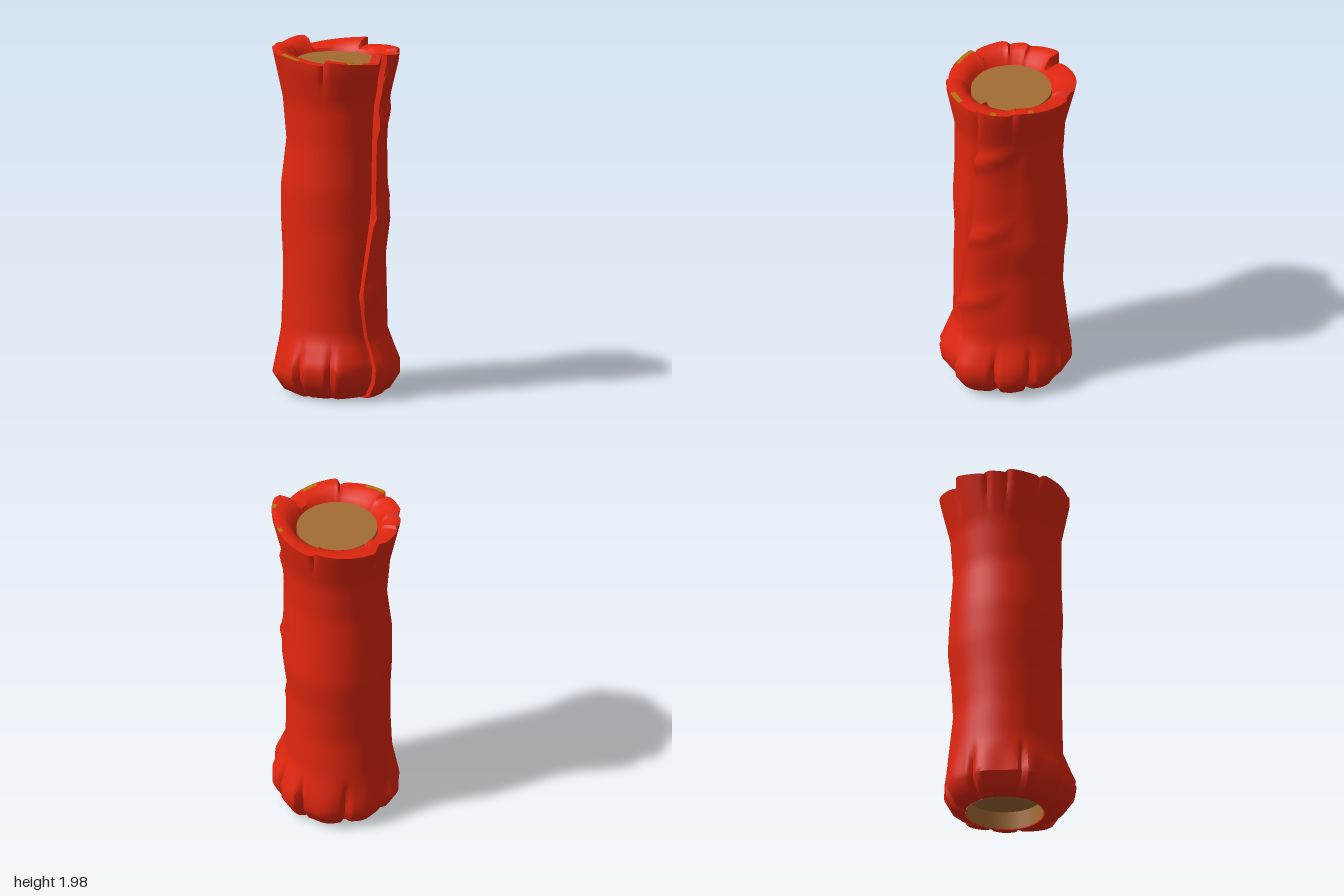
import * as THREE from 'three';
import { toCreasedNormals } from 'three/addons/utils/BufferGeometryUtils.js';

const DEG = Math.PI / 180, COLS = 144, CZ = -0.02;

// Wrapper cross-sections: height, then radius at front, right, back, left.
const ROWS = [
  [0.06, 0.22, 0.22, 0.22, 0.22],
  [0.012, 0.225, 0.225, 0.225, 0.225],
  [0.015, 0.28, 0.26, 0.25, 0.26],
  [0.035, 0.33, 0.30, 0.29, 0.30],
  [0.12, 0.39, 0.355, 0.335, 0.355],
  [0.20, 0.405, 0.355, 0.335, 0.34],
  [0.37, 0.33, 0.29, 0.315, 0.31],
  [0.60, 0.325, 0.285, 0.29, 0.30],
  [0.80, 0.325, 0.28, 0.30, 0.30],
  [1.00, 0.32, 0.305, 0.32, 0.31],
  [1.20, 0.33, 0.29, 0.31, 0.31],
  [1.46, 0.32, 0.285, 0.29, 0.28],
  [1.70, 0.32, 0.295, 0.305, 0.30],
  [1.92, 0.365, 0.345, 0.36, 0.345],
  [1.965, 0.365, 0.35, 0.37, 0.355],
  [1.968, 0.335, 0.325, 0.34, 0.33],
  [1.96, 0.29, 0.285, 0.295, 0.285],
  [1.93, 0.25, 0.25, 0.25, 0.25],
  [1.89, 0.23, 0.23, 0.23, 0.23],
];
const SEAM = [[0, 32], [0.3, 32], [0.6, 25], [1.08, 40], [1.6, 45], [1.9, 50], [2, 50]];
const PLEATS = [-80, -35, -5, 65, 100, 132, 180, 228];
const RIM_FOLDS = [-95, -62, -12, 50, 83, 148, 212, 245];
const GOLD = [[-62, -38], [10, 23], [61, 67], [96, 100]];

const wrap = (d) => ((d + 540) % 360 + 360) % 360 - 180;
const step = THREE.MathUtils.smoothstep;

function seamAngle(y) {
  const k = Math.max(1, SEAM.findIndex((s) => s[0] >= y));
  const [y0, a0] = SEAM[k - 1], [y1, a1] = SEAM[k];
  return a0 + (a1 - a0) * (y - y0) / (y1 - y0);
}

// Blend the four radii around the circle
function radiusAt(row, deg) {
  const q = ((deg % 360 + 360) % 360) / 90, k = Math.floor(q);
  return THREE.MathUtils.lerp(row[1 + k % 4], row[1 + (k + 1) % 4], step(q - k, 0, 1));
}

// Sharp crease of the given half width around each listed angle
function crease(list, deg, width) {
  return list.reduce((m, a) => Math.max(m, 1 - Math.abs(wrap(deg - a)) / width), 0);
}

// Uneven rim: each fold starts high and slopes to the next one
function rimHeight(deg) {
  let best = 360, id = 0;
  RIM_FOLDS.forEach((a, i) => {
    const d = ((deg - a) % 360 + 360) % 360;
    if (d < best) { best = d; id = i; }
  });
  return 0.022 - 0.0007 * best - (id % 3) * 0.007;
}

function wrapperPoint(row, isInner, u) {
  const y = row[0];
  const deg = seamAngle(y) + 360 * u;
  let r = radiusAt(row, deg), h = y;
  if (!isInner) {
    // Overlapping edge, with a shallow groove beside it
    r += 0.028 * (1 - step(u, 0.02, 0.13)) - 0.012 * step(u, 0.965, 1);
    // Diagonal wrinkles running up and away from the seam
    for (const y0 of [0.58, 1.06, 1.58]) {
      const d = (y - y0 - u * 0.9) / 0.045;
      r += 0.022 * Math.exp(-d * d) * (1 - step(u, 0.02, 0.16));
    }
  }
  // Pleats gathered around the foot
  if (y > 0.013 && y < 0.36 && !isInner) {
    const fade = 1 - step(y, 0.14, 0.36);
    r -= 0.04 * fade * crease(PLEATS, deg, 5);
    r += 0.008 * fade * Math.cos(deg * DEG * 9);
  }
  // Crumpled rim
  if (y > 1.7) {
    const fade = step(y, 1.7, 1.95) * step(r, 0.23, 0.3);
    h += rimHeight(deg) * fade;
    r += fade * (0.35 * rimHeight(deg) - 0.018 * crease(RIM_FOLDS, deg, 4));
  }
  const a = deg * DEG;
  return [r * Math.sin(a), h, CZ + r * Math.cos(a)];
}

function wrapperGeometry() {
  // Subdivide the tall bands so that the wrinkles have room
  const rows = [];
  ROWS.forEach((row, i) => {
    const next = ROWS[i + 1];
    const n = next ? Math.max(1, Math.round(Math.abs(next[0] - row[0]) / 0.045)) : 1;
    for (let k = 0; k < n; k++) {
      rows.push({
        v: k ? row.map((c, j) => c + (next[j] - c) * k / n) : row,
        inner: i < 2 || i > 16,
        gold: i === 14,
      });
    }
  });
  const pos = [], red = [], gold = [], w = COLS + 2;
  rows.forEach(({ v, inner }) => {
    for (let j = 0; j <= COLS; j++) pos.push(...wrapperPoint(v, inner, j / COLS));
    pos.push(...wrapperPoint(v, inner, 0)); // seam edge
  });
  for (let i = 0; i < rows.length - 1; i++) {
    for (let j = 0; j <= COLS; j++) {
      const deg = wrap(seamAngle(rows[i].v[0]) + 360 * j / COLS);
      const isGold = rows[i].gold && GOLD.some(([a, b]) => deg >= a && deg <= b);
      const a = i * w + j, b = a + 1, c = b + w, d = a + w;
      (isGold ? gold : red).push(a, b, c, a, c, d);
    }
  }
  const g = new THREE.BufferGeometry();
  g.setAttribute('position', new THREE.Float32BufferAttribute(pos, 3));
  g.setIndex([...red, ...gold]);
  g.addGroup(0, red.length, 0);
  g.addGroup(red.length, gold.length, 1);
  return toCreasedNormals(g, 40 * DEG);
}

export function createModel() {
  const group = new THREE.Group();
  const redPaper = new THREE.MeshStandardMaterial({ color: 0xe0260f, side: THREE.DoubleSide });
  redPaper.name = 'red paper';
  const goldLining = new THREE.MeshStandardMaterial({ color: 0xb0740c, side: THREE.DoubleSide });
  goldLining.name = 'gold lining';
  const cardboard = new THREE.MeshStandardMaterial({ color: 0xa46c32, side: THREE.DoubleSide });
  cardboard.name = 'brown cardboard';

  const add = (name, geometry, material, y) => {
    const mesh = new THREE.Mesh(geometry, material);
    mesh.name = name;
    mesh.position.set(0, y, y ? CZ : 0);
    group.add(mesh);
  };

  add('paperWrapper', wrapperGeometry(), [redPaper, goldLining], 0);
  // Solid core, set back inside the open foot
  add('core', new THREE.CylinderGeometry(0.228, 0.22, 1.79, 32), cardboard, 1.015);
  add('footTube', new THREE.CylinderGeometry(0.219, 0.219, 0.11, 32, 1, true), cardboard, 0.07);
  return group;
}
